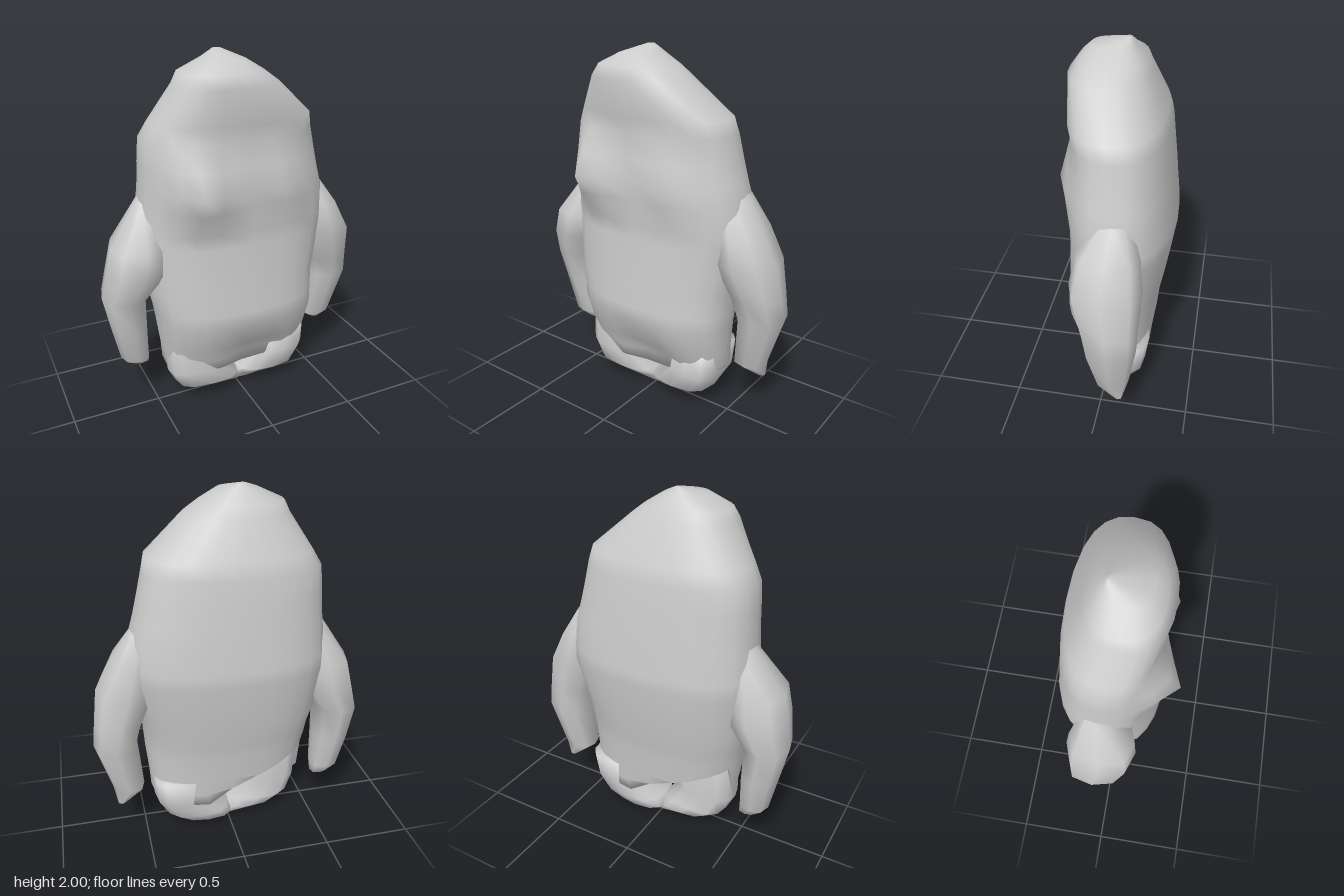
import * as THREE from 'three';

const material = new THREE.MeshStandardMaterial({ color: 0xcccccc, side: THREE.DoubleSide });

// Closed loft through horizontal rings, top to bottom: [y, xMin, xMax, zBack, zFront].
// power < 1 squares the ring off; shape() may move each point.
function loft(name, rings, sides, power, shape = () => {}) {
  const pos = [], index = [];
  const bend = (v) => Math.sign(v) * Math.abs(v) ** power;
  const add = (x, y, z) => {
    const p = new THREE.Vector3(x, y, z);
    shape(p);
    pos.push(p.x, p.y, p.z);
  };
  for (const [y, x0, x1, z0, z1] of rings) {
    for (let j = 0; j < sides; j++) {
      const a = (j / sides) * Math.PI * 2;
      add((x0 + x1) / 2 + bend(Math.cos(a)) * (x1 - x0) / 2, y,
        (z0 + z1) / 2 + bend(Math.sin(a)) * (z1 - z0) / 2);
    }
  }
  const count = rings.length;
  for (const [y, x0, x1, z0, z1] of [rings[0], rings[count - 1]]) add((x0 + x1) / 2, y, (z0 + z1) / 2);
  const top = count * sides, last = (count - 1) * sides;
  for (let j = 0; j < sides; j++) {
    const n = (j + 1) % sides;
    for (let i = 0; i < count - 1; i++) {
      const a = i * sides + j, b = i * sides + n;
      index.push(a, b, a + sides, b, b + sides, a + sides);
    }
    index.push(top, n, j, top + 1, last + j, last + n);
  }
  const geometry = new THREE.BufferGeometry();
  geometry.setAttribute('position', new THREE.Float32BufferAttribute(pos, 3));
  geometry.setIndex(index);
  geometry.computeVertexNormals();
  const mesh = new THREE.Mesh(geometry, material);
  mesh.name = name;
  return mesh;
}

// Linear bump: 1 at the centre, 0 at the edge
const tent = (p, x, y, rx, ry) => Math.max(0, 1 - Math.hypot((p.x - x) / rx, (p.y - y) / ry));

// Face bumps, belly dent and the raised hem at the back
function shapeBody(p) {
  if (p.z > 0.05) {
    p.z += 0.15 * tent(p, -0.29, 1.32, 0.2, 0.26);
    p.z += 0.06 * tent(p, 0.18, 1.32, 0.18, 0.24);
    p.z -= 0.08 * tent(p, 0.07, 0.26, 0.22, 0.16);
  }
  if (p.z < -0.05 && p.x < 0.1) p.y = Math.max(p.y, 0.25 + 0.25 * (0.1 - p.x) / 0.6);
}

export function createModel() {
  const model = new THREE.Group();
  model.name = 'figure';

  model.add(loft('body', [
    [2.0, -0.1, -0.06, -0.07, -0.04],
    [1.96, -0.19, 0.03, -0.1, 0.14],
    [1.9, -0.32, 0.13, -0.15, 0.2],
    [1.84, -0.35, 0.21, -0.18, 0.245],
    [1.65, -0.47, 0.43, -0.27, 0.225],
    [1.57, -0.515, 0.45, -0.29, 0.21],
    [1.44, -0.525, 0.48, -0.305, 0.215],
    [1.32, -0.53, 0.51, -0.32, 0.22],
    [1.22, -0.54, 0.54, -0.33, 0.22],
    [1.08, -0.55, 0.55, -0.345, 0.22],
    [1.0, -0.55, 0.55, -0.35, 0.22],
    [0.73, -0.52, 0.49, -0.31, 0.24],
    [0.6, -0.49, 0.48, -0.285, 0.25],
    [0.52, -0.48, 0.475, -0.27, 0.255],
    [0.36, -0.46, 0.46, -0.255, 0.2],
    [0.26, -0.45, 0.455, -0.245, 0.15],
    [0.19, -0.44, 0.43, -0.24, 0.13],
  ], 24, 0.82, shapeBody));

  // Arms hang from the shoulders and taper to a blunt tip
  model.add(loft('rightArm', [
    [1.25, -0.54, -0.4, -0.14, 0.0],
    [1.0, -0.71, -0.4, -0.22, 0.14],
    [0.86, -0.74, -0.42, -0.24, 0.15],
    [0.7, -0.77, -0.53, -0.225, 0.08],
    [0.5, -0.73, -0.525, -0.21, 0.04],
    [0.29, -0.685, -0.52, -0.17, 0.0],
    [0.24, -0.62, -0.52, -0.15, -0.05],
  ], 8, 0.75));
  model.add(loft('leftArm', [
    [1.27, 0.4, 0.53, -0.16, 0.0],
    [1.1, 0.4, 0.64, -0.22, 0.11],
    [0.93, 0.4, 0.73, -0.24, 0.14],
    [0.73, 0.49, 0.755, -0.23, 0.08],
    [0.6, 0.525, 0.77, -0.225, 0.05],
    [0.31, 0.5, 0.68, -0.18, 0.0],
    [0.22, 0.62, 0.66, -0.15, -0.11],
  ], 8, 0.75));

  // Feet meet at the centre, leaving a small gap below the body
  model.add(loft('rightFoot', [
    [0.5, -0.44, -0.1, -0.12, 0.12],
    [0.2, -0.44, -0.08, -0.1, 0.13],
    [0.1, -0.39, 0.0, -0.13, 0.13],
    [0.05, -0.29, 0.02, -0.13, 0.07],
    [0.0, -0.03, 0.03, -0.1, 0.01],
  ], 12, 0.7));
  model.add(loft('leftFoot', [
    [0.35, 0.14, 0.45, -0.25, 0.13],
    [0.2, 0.12, 0.44, -0.23, 0.13],
    [0.1, 0.0, 0.385, -0.22, 0.13],
    [0.05, -0.02, 0.29, -0.2, 0.06],
    [0.0, -0.02, 0.16, -0.1, 0.01],
  ], 12, 0.7));

  return model;
}
